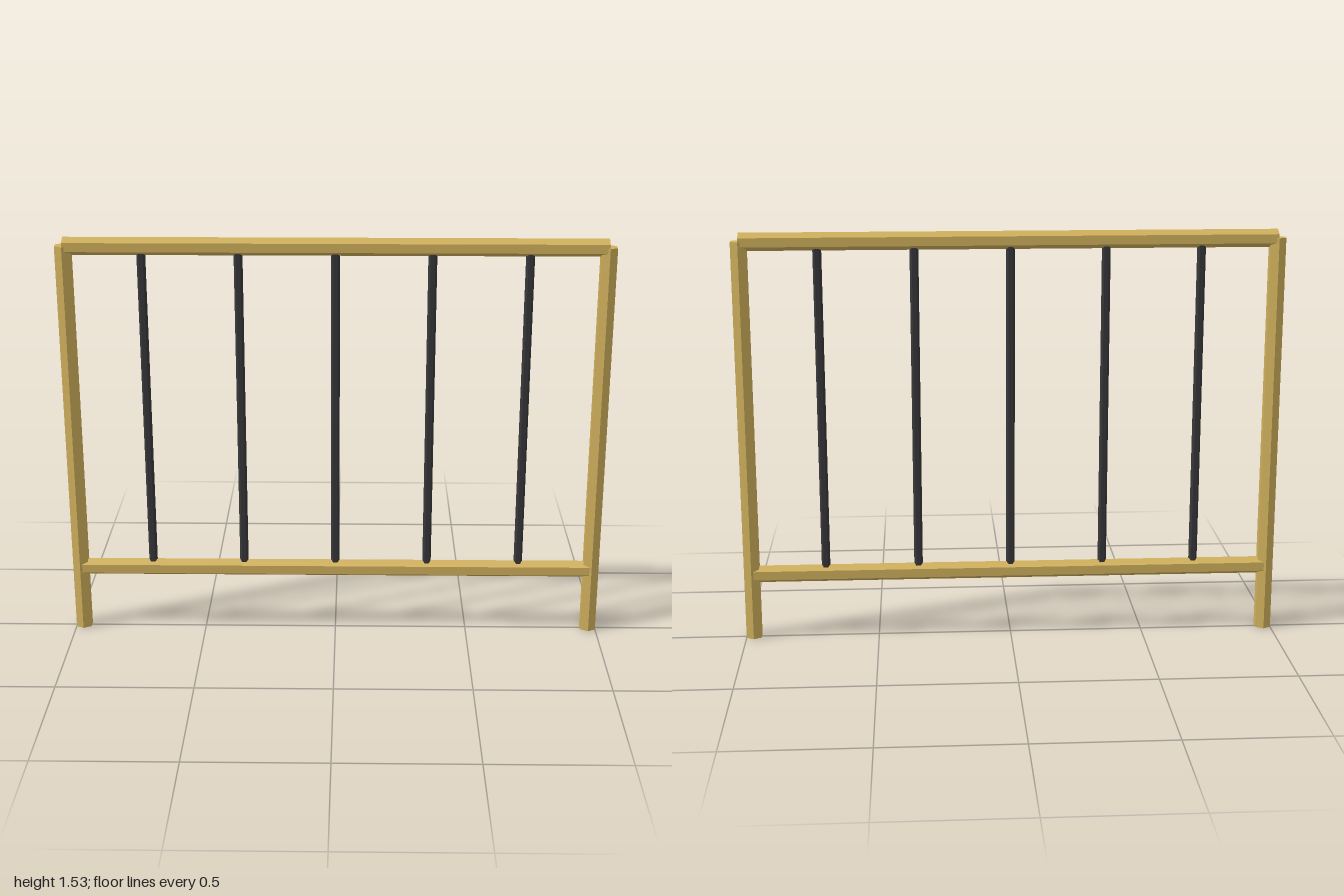
import * as THREE from 'three';

export function createModel() {
  const brass = new THREE.MeshStandardMaterial({ color: 0xd0b05c, flatShading: true });
  brass.name = 'brass';
  const iron = new THREE.MeshStandardMaterial({ color: 0x37373a, flatShading: true });
  iron.name = 'dark iron';

  const model = new THREE.Group();
  model.name = 'railing';

  const frameRadius = 0.0328;
  const postX = 1 - frameRadius * Math.cos(Math.PI / 6);
  const lowY = 0.249;
  const topY = 1.498;

  // Hexagonal bar standing along y; turn spins its corners about the axis
  const hexBar = (name, radius, length, material, turn = 0) => {
    const geometry = new THREE.CylinderGeometry(radius, radius, length, 6, 1, false, turn);
    const mesh = new THREE.Mesh(geometry, material);
    mesh.name = name;
    model.add(mesh);
    return mesh;
  };

  // Posts, corners pointing front and back
  for (const [name, side] of [['leftPost', 1], ['rightPost', -1]]) {
    hexBar(name, frameRadius, 1.5, brass).position.set(side * postX, 0.75, 0);
  }

  // Rails between the post centres, corners pointing up and down
  for (const [name, y] of [['topRail', topY], ['bottomRail', lowY]]) {
    const rail = hexBar(name, frameRadius, postX * 2, brass, Math.PI / 6);
    rail.rotation.z = Math.PI / 2;
    rail.position.y = y;
  }

  // Thin balusters, flat faces to the front
  for (let i = -2; i <= 2; i++) {
    const baluster = hexBar(`baluster${i + 3}`, 0.016, topY - lowY, iron, Math.PI / 6);
    baluster.position.set(i * 0.347, (topY + lowY) / 2, 0);
  }

  return model;
}
